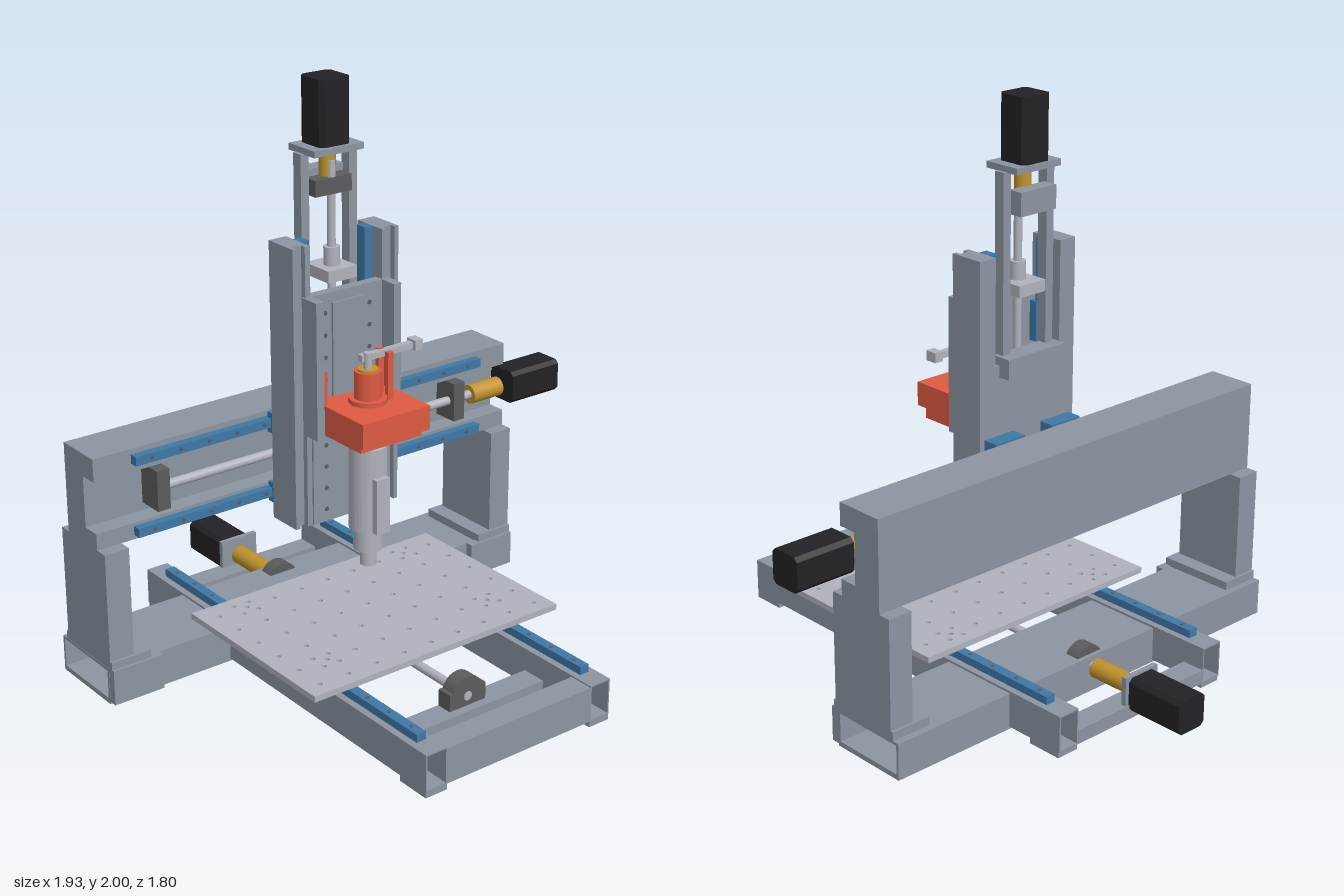
import * as THREE from 'three';

const mat = (color) => new THREE.MeshStandardMaterial({ color });
const STEEL = mat(0x8c95a1), BLUE = mat(0x3f78a6), ORANGE = mat(0xdf5b42), BLACK = mat(0x222226);
const BRASS = mat(0xc0922c), SILVER = mat(0xb0b3bc), DARK = mat(0x5c5c5e);
const CX = -0.112; // centre line of the bed, column and spindle

export function createModel() {
  const model = new THREE.Group();
  let parent = model;
  const group = (name) => {
    parent = new THREE.Group();
    parent.name = name;
    model.add(parent);
  };
  const add = (name, geometry, material) => {
    const mesh = new THREE.Mesh(geometry, material);
    mesh.name = name;
    parent.add(mesh);
    return mesh;
  };
  // Box given by its limits on each axis
  const box = (name, m, x0, x1, y0, y1, z0, z1) => {
    const b = add(name, new THREE.BoxGeometry(x1 - x0, y1 - y0, z1 - z0), m);
    b.position.set((x0 + x1) / 2, (y0 + y1) / 2, (z0 + z1) / 2);
    return b;
  };
  const aim = (mesh, axis) => {
    if (axis === 'x') mesh.rotation.z = -Math.PI / 2;
    if (axis === 'z') mesh.rotation.x = Math.PI / 2;
  };
  // Cylinder along an axis, centred on x, y, z
  const rod = (name, m, axis, r, length, x, y, z, sides = 24) => {
    const c = add(name, new THREE.CylinderGeometry(r, r, length, sides), m);
    c.position.set(x, y, z);
    aim(c, axis);
    return c;
  };
  const rect = (S, w, h) => {
    const s = new S();
    s.moveTo(-w / 2, -h / 2);
    s.lineTo(w / 2, -h / 2);
    s.lineTo(w / 2, h / 2);
    s.lineTo(-w / 2, h / 2);
    s.closePath();
    return s;
  };
  // Rectangular hollow section along x or z
  const tube = (name, axis, w, h, t, length, x, y, z) => {
    const s = rect(THREE.Shape, w, h);
    s.holes.push(rect(THREE.Path, w - 2 * t, h - 2 * t));
    const g = new THREE.ExtrudeGeometry(s, { depth: length, bevelEnabled: false });
    g.translate(0, 0, -length / 2);
    const mesh = add(name, g, STEEL);
    mesh.position.set(x, y, z);
    if (axis === 'x') mesh.rotation.y = Math.PI / 2;
  };
  // Square stepper motor with chamfered corners
  const motor = (name, axis, length, x, y, z) => {
    const a = 0.06, c = 0.046;
    const s = new THREE.Shape([[a, -c], [a, c], [c, a], [-c, a], [-a, c], [-a, -c], [-c, -a], [c, -a]]
      .map((p) => new THREE.Vector2(...p)));
    const g = new THREE.ExtrudeGeometry(s, { depth: length, bevelEnabled: false });
    g.translate(0, 0, -length / 2).rotateX(-Math.PI / 2);
    const m = add(name, g, BLACK);
    m.position.set(x, y, z);
    aim(m, axis);
  };
  const bedX = [-0.452, 0.228];

  // Bed frame of hollow sections
  group('bedFrame');
  for (const x of bedX) {
    tube('longBeam', 'z', 0.084, 0.13, 0.005, 1.58, x, 0.085, 0.105);
    box('frontFoot', STEEL, x - 0.042, x + 0.042, 0, 0.02, 0.77, 0.895);
    box('rearFoot', STEEL, x - 0.042, x + 0.042, 0, 0.02, -0.68, -0.55);
    box('bedRail', BLUE, x - 0.018, x + 0.018, 0.15, 0.178, -0.6, 0.82);
    for (let i = 0; i < 13; i++) rod('railScrew', DARK, 'y', 0.007, 0.004, x, 0.178, -0.55 + i * 0.11, 8);
    for (const z of [-0.09, 0.335]) box('bedCarriage', BLUE, x - 0.035, x + 0.035, 0.16, 0.196, z - 0.065, z + 0.065);
  }
  box('frontCrossBeam', STEEL, -0.41, 0.186, 0.02, 0.145, 0.805, 0.895);
  box('middleCrossBeam', STEEL, -0.41, 0.186, 0.02, 0.07, 0.58, 0.67);
  box('rearCrossBeam', STEEL, -0.41, 0.186, 0.02, 0.07, -0.685, -0.6);

  // Bed drive
  group('bedDrive');
  rod('bedScrew', SILVER, 'z', 0.016, 1.12, CX, 0.105, 0.08);
  for (const z of [0.61, -0.412]) {
    box('bedBearing', DARK, CX - 0.075, CX + 0.075, 0.07, 0.13, z - 0.028, z + 0.028);
    rod('bedBearingCap', DARK, 'z', 0.062, 0.054, CX, 0.112, z);
  }
  rod('bedNut', SILVER, 'z', 0.04, 0.16, CX, 0.12, 0.08);
  box('bedNutBlock', STEEL, CX - 0.07, CX + 0.07, 0.1, 0.196, 0.03, 0.1);
  rod('bedCoupler', BRASS, 'z', 0.034, 0.19, CX, 0.105, -0.57);
  box('bedMotorPlate', STEEL, CX - 0.075, CX + 0.075, 0.04, 0.172, -0.68, -0.662);
  motor('bedMotor', 'z', 0.22, CX, 0.105, -0.79);

  // Drilled table plate
  group('table');
  const plate = new THREE.Shape([[-0.62, -0.5], [0.395, -0.5], [0.395, 0.2], [-0.62, 0.2]]
    .map((p) => new THREE.Vector2(...p)));
  const drill = (x, z, r) => plate.holes.push(new THREE.Path().absarc(x, -z, r, 0, Math.PI * 2, true));
  for (let i = 0; i < 9; i++) for (let j = 0; j < 6; j++) drill(-0.56 + i * 0.1125, -0.122 + j * 0.1135, 0.009);
  for (const x of bedX) for (const z of [-0.122, 0.332]) {
    for (const dx of [-0.03, 0.03]) for (const dz of [-0.03, 0.03]) drill(x + dx, z + dz, 0.009);
  }
  const plateGeo = new THREE.ExtrudeGeometry(plate, { depth: 0.021, bevelEnabled: false, curveSegments: 6 });
  plateGeo.rotateX(-Math.PI / 2);
  add('tablePlate', plateGeo, SILVER).position.y = 0.196;

  // Gantry base, split where the bed beams pass through
  group('gantryBase');
  for (const [x0, x1] of [[-0.97, -0.494], [-0.41, 0.186], [0.27, 0.745]]) {
    tube('baseBeam', 'x', 0.295, 0.122, 0.01, x1 - x0, (x0 + x1) / 2, 0.081, -0.3075);
  }
  box('baseBottomPlate', STEEL, -0.97, 0.745, 0.012, 0.022, -0.455, -0.16);
  for (const s of [-1, 1]) {
    const side = (name, a, b, y0, y1, z0, z1) => {
      const p = CX + s * a, q = CX + s * b;
      box(name, STEEL, Math.min(p, q), Math.max(p, q), y0, y1, z0, z1);
    };
    side('cornerFrontPlate', 0.667, 0.857, 0.02, 0.145, -0.16, -0.13);
    side('uprightFlange', 0.707, 0.857, 0.14, 0.172, -0.43, -0.14);
    side('upright', 0.767, 0.857, 0.17, 0.557, -0.42, -0.15);
  }

  // Gantry beam, recessed at the front for its screw
  group('gantryBeam');
  const c = [[0.375, 0.557], [0.195, 0.557], [0.195, 0.615], [0.262, 0.615], [0.262, 0.795],
    [0.195, 0.795], [0.195, 0.875], [0.375, 0.875]].map((p) => new THREE.Vector2(...p));
  const beam = new THREE.ExtrudeGeometry(new THREE.Shape(c), { depth: 1.715, bevelEnabled: false });
  beam.rotateY(Math.PI / 2);
  add('crossBeam', beam, STEEL).position.x = -0.97;
  for (const y of [0.84, 0.588]) {
    box('beamRail', BLUE, -0.83, 0.61, y - 0.016, y + 0.016, -0.196, -0.165);
    for (let i = 0; i < 13; i++) rod('railScrew', DARK, 'z', 0.007, 0.004, -0.77 + i * 0.11, y, -0.165, 8);
    for (const x of [-0.24, 0.016]) box('beamCarriage', BLUE, x - 0.065, x + 0.065, y - 0.036, y + 0.036, -0.185, -0.13);
  }
  rod('beamScrew', SILVER, 'x', 0.016, 1.42, -0.04, 0.713, -0.2);
  for (const x of [-0.73, 0.513]) box('beamBearing', DARK, x - 0.024, x + 0.024, 0.643, 0.785, -0.262, -0.165);
  rod('beamNut', SILVER, 'x', 0.04, 0.16, CX, 0.713, -0.2);
  rod('beamCoupler', BRASS, 'x', 0.035, 0.135, 0.655, 0.713, -0.2);
  motor('beamMotor', 'x', 0.22, 0.855, 0.715, -0.2);

  // Vertical column riding on the beam
  group('column');
  box('columnBackPlate', STEEL, -0.3, 0.076, 0.515, 1.12, -0.13, -0.1);
  box('columnRearBar', STEEL, -0.24, 0.016, 1.08, 1.15, -0.175, -0.1);
  for (const s of [-1, 1]) {
    const side = (name, m, a, b, y0, y1, z0, z1) => {
      const p = CX + s * a, q = CX + s * b;
      box(name, m, Math.min(p, q), Math.max(p, q), y0, y1, z0, z1);
    };
    side('columnSide', STEEL, 0.145, 0.213, 0.515, 1.49, -0.13, -0.02);
    side('outerLip', STEEL, 0.197, 0.213, 0.515, 1.49, -0.02, 0);
    side('innerLip', STEEL, 0.145, 0.165, 0.515, 1.49, -0.02, 0);
    side('columnRail', BLUE, 0.112, 0.145, 0.8, 1.49, -0.09, -0.05);
    side('towerPlate', STEEL, 0.08, 0.112, 1.1, 1.762, -0.13, -0.09);
    side('carriageFlange', STEEL, 0.142, 0.172, 0.845, 1.32, -0.01, 0.068);
    for (const y of [0.65, 1.2]) side('columnCarriage', BLUE, 0.105, 0.145, y - 0.07, y + 0.07, -0.06, -0.028);
    for (let i = 0; i < 10; i++) rod('carriageScrew', DARK, 'z', 0.008, 0.004, CX + s * 0.09, 0.56 + i * 0.077, 0.004, 8);
  }
  box('towerRearBar', STEEL, -0.19, -0.034, 1.62, 1.7, -0.175, -0.12);
  box('towerBearing', DARK, -0.185, -0.04, 1.62, 1.675, -0.13, -0.065);
  box('columnMotorPlate', STEEL, -0.21, -0.014, 1.76, 1.782, -0.175, -0.035);
  motor('columnMotor', 'y', 0.22, CX, 1.89, -0.108);
  rod('columnCoupler', BRASS, 'y', 0.028, 0.085, CX, 1.72, -0.1);
  rod('columnScrew', SILVER, 'y', 0.014, 0.7, CX, 1.38, -0.08);
  rod('columnNut', SILVER, 'y', 0.027, 0.065, CX, 1.41, -0.08);
  box('columnNutFlange', SILVER, CX - 0.058, CX + 0.058, 1.34, 1.38, -0.15, -0.02);

  // Spindle carriage, clamp and spindle
  group('spindle');
  box('carriagePlate', STEEL, -0.255, 0.031, 0.515, 1.32, -0.03, 0.004);
  box('carriagePad', STEEL, CX - 0.064, CX + 0.064, 0.95, 1.285, 0.004, 0.012);
  box('clampBlock', ORANGE, -0.25, 0.026, 0.875, 0.96, 0, 0.265);
  box('clampLower', ORANGE, -0.225, 0.026, 0.84, 0.875, 0, 0.222);
  for (const x of [-0.246, 0.024]) box('clampTab', ORANGE, x - 0.01, x + 0.01, 0.96, 1.075, 0.02, 0.06);
  const lathe = add('spindleBody', new THREE.LatheGeometry([
    [0, 0.375], [0.028, 0.375], [0.028, 0.435], [0.028, 0.435], [0.05, 0.435], [0.05, 0.435], [0.05, 0.512],
    [0.05, 0.512], [0.065, 0.512], [0.065, 0.512], [0.065, 0.81], [0.065, 0.81], [0.055, 0.815], [0.055, 0.87],
  ].map((p) => new THREE.Vector2(...p)), 32), SILVER);
  lathe.geometry = lathe.geometry.toNonIndexed();
  lathe.geometry.computeVertexNormals();
  lathe.position.set(CX, 0, 0.113);
  box('spindleSpine', SILVER, CX - 0.027, CX + 0.027, 0.515, 0.71, 0.15, 0.197);
  rod('spindleCollar', ORANGE, 'y', 0.065, 0.018, CX, 0.967, 0.113, 12);
  rod('spindleCap', ORANGE, 'y', 0.046, 0.1, CX, 1.02, 0.113);
  rod('drawRing', BRASS, 'y', 0.034, 0.008, CX, 1.072, 0.113);
  rod('drawBar', SILVER, 'y', 0.014, 0.06, CX, 1.1, 0.113);
  for (const z of [0.09, 0.14]) box('leverPost', ORANGE, -0.056, -0.034, 0.96, 1.125, z - 0.008, z + 0.008);
  box('lever', SILVER, -0.135, 0.085, 1.1, 1.122, 0.09, 0.112);
  box('leverGrip', SILVER, 0.075, 0.108, 1.095, 1.13, 0.08, 0.125);
  return model;
}
